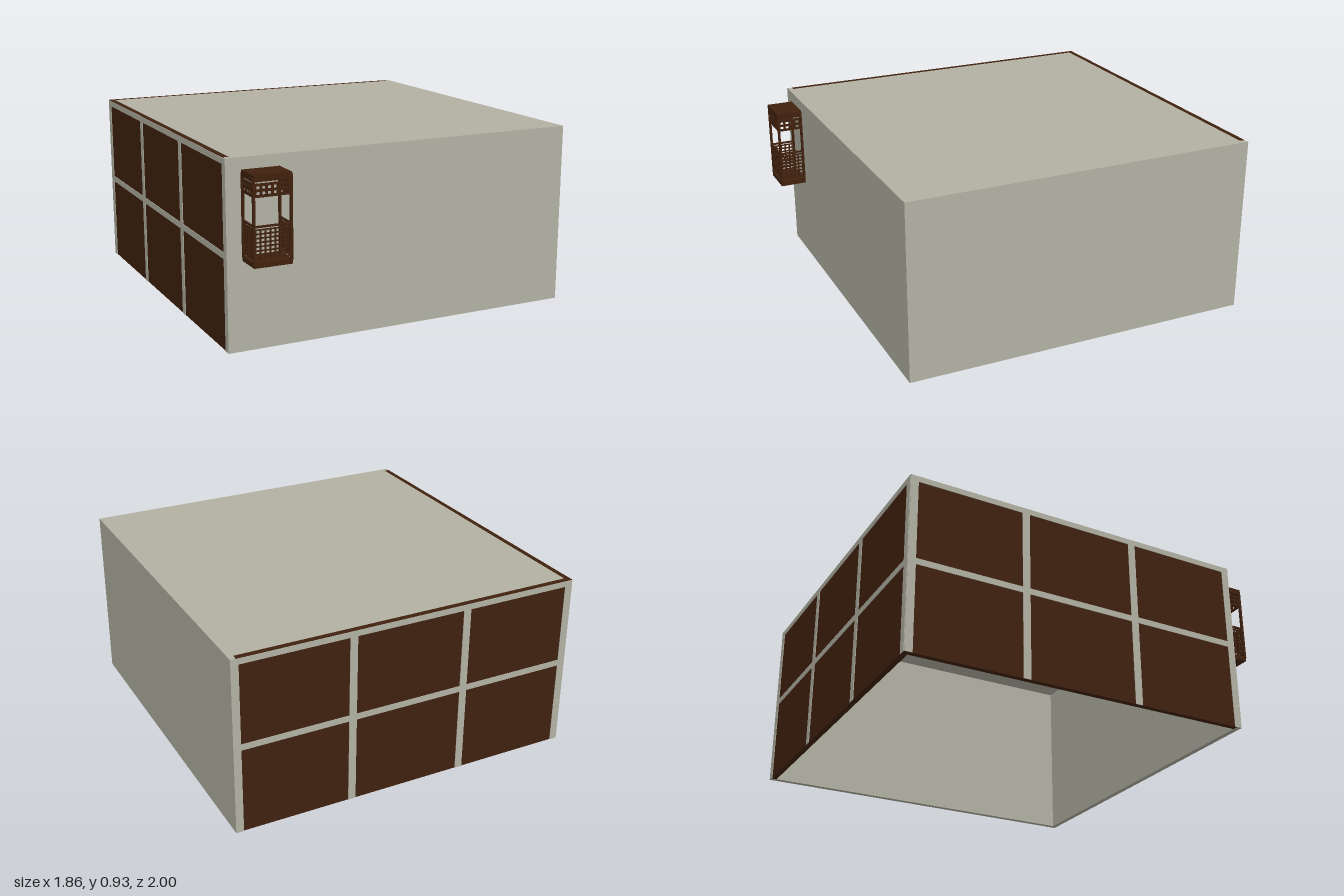
import * as THREE from 'three';

const plaster = new THREE.MeshStandardMaterial({ color: 0xb2b1a3 });
plaster.name = 'greyPlaster';
const wood = new THREE.MeshStandardMaterial({ color: 0x40210e });
wood.name = 'darkWood';

// Box given by its minimum and maximum corners
function block(name, material, [x0, y0, z0], [x1, y1, z1]) {
  const mesh = new THREE.Mesh(new THREE.BoxGeometry(x1 - x0, y1 - y0, z1 - z0), material);
  mesh.position.set((x0 + x1) / 2, (y0 + y1) / 2, (z0 + z1) / 2);
  mesh.name = name;
  return mesh;
}

// Pierced screen: a thin board with a regular grid of square openings
function lattice(name, width, y0, y1, cols, rows, barX, barY) {
  const board = new THREE.Shape();
  board.moveTo(-width / 2, y0);
  board.lineTo(width / 2, y0);
  board.lineTo(width / 2, y1);
  board.lineTo(-width / 2, y1);
  board.closePath();
  const holeW = (width - barX * (cols + 1)) / cols;
  const holeH = (y1 - y0 - barY * (rows + 1)) / rows;
  for (let i = 0; i < cols; i++) {
    for (let j = 0; j < rows; j++) {
      const x = -width / 2 + barX + i * (holeW + barX);
      const y = y0 + barY + j * (holeH + barY);
      const hole = new THREE.Path();
      hole.moveTo(x, y);
      hole.lineTo(x, y + holeH);
      hole.lineTo(x + holeW, y + holeH);
      hole.lineTo(x + holeW, y);
      hole.closePath();
      board.holes.push(hole);
    }
  }
  const geometry = new THREE.ExtrudeGeometry(board, { depth: 0.007, bevelEnabled: false });
  geometry.translate(0, 0, -0.0035);
  const mesh = new THREE.Mesh(geometry, wood);
  mesh.name = name;
  return mesh;
}

const X = 0.93, H = 0.93, BACK = -1, FRONT = 0.86, T = 0.028;

// Open-bottomed house shell: two plaster walls, two timber walls and a roof
function createShell() {
  const shell = new THREE.Group();
  shell.name = 'shell';
  shell.add(
    block('frontWall', plaster, [-X, 0, FRONT - T], [X, H, FRONT]),
    block('leftWall', plaster, [X - T, 0, BACK], [X, H, FRONT - T]),
    block('rightTimberWall', wood, [-X, 0, BACK + T], [-X + T, H, FRONT - T]),
    block('backTimberWall', wood, [-X, 0, BACK], [X - T, H, BACK + T]),
    block('roof', plaster, [-X + T, H - T, BACK + T], [X - T, H, FRONT - T]),
  );
  return shell;
}

// Plaster strips dividing a timber wall into a 3 x 2 grid of panels
function createFrame(name) {
  const frame = new THREE.Group();
  frame.name = name;
  const half = 0.93, w = 0.04, d = 0.003;
  for (const c of [-half + w / 2, -half / 3, half / 3, half - w / 2]) {
    frame.add(block('upright', plaster, [c - w / 2, 0, 0], [c + w / 2, H - 0.002, d]));
  }
  frame.add(block('middleRail', plaster, [-half, 0.45, 0], [half, 0.482, d]));
  frame.add(block('topRail', plaster, [-half, H - 0.032, 0], [half, H - 0.002, d]));
  return frame;
}

// Latticed wooden balcony, modelled around x = 0 with the wall at z = 0
function createBalcony() {
  const balcony = new THREE.Group();
  balcony.name = 'balcony';
  const w = 0.19, d = 0.14, p = 0.012;
  balcony.add(
    block('canopy', wood, [-w / 2, 0.84, 0], [w / 2, 0.872, d]),
    block('floorSlab', wood, [-w / 2, 0.442, 0], [w / 2, 0.466, d]),
  );
  // Corner posts
  for (const side of [-1, 1]) {
    for (const z of [p / 2, d - p / 2]) {
      const x = side * (w / 2 - p / 2 + 0.003);
      balcony.add(block('post', wood, [x - p / 2, 0.46, z - p / 2], [x + p / 2, 0.86, z + p / 2]));
    }
  }
  // Screens and handrail on the three open sides
  const sides = [
    { width: w - p, x: 0, z: d - p / 2, turn: 0, cols: 7, top: 6 },
    { width: d - p, x: w / 2 - p / 2, z: d / 2, turn: Math.PI / 2, cols: 5, top: 4 },
    { width: d - p, x: -w / 2 + p / 2, z: d / 2, turn: -Math.PI / 2, cols: 5, top: 4 },
  ];
  for (const s of sides) {
    const panel = new THREE.Group();
    panel.name = 'screenPanel';
    panel.add(
      lattice('upperLattice', s.width, 0.768, 0.832, s.top, 2, 0.011, 0.012),
      lattice('lowerLattice', s.width, 0.48, 0.622, s.cols, 7, 0.007, 0.006),
      block('handrail', wood, [-s.width / 2, 0.629, -0.005], [s.width / 2, 0.638, 0.005]),
    );
    panel.position.set(s.x, 0, s.z);
    panel.rotation.y = s.turn;
    balcony.add(panel);
  }
  return balcony;
}

export function createModel() {
  const model = new THREE.Group();
  model.name = 'house';
  model.add(createShell());

  const backFrame = createFrame('backFrame');
  backFrame.rotation.y = Math.PI;
  backFrame.position.z = BACK;
  const sideFrame = createFrame('rightFrame');
  sideFrame.rotation.y = -Math.PI / 2;
  sideFrame.position.set(-X, 0, (BACK + FRONT) / 2);
  model.add(backFrame, sideFrame);

  const balcony = createBalcony();
  balcony.position.set(-0.76, 0, FRONT);
  model.add(balcony);
  return model;
}
